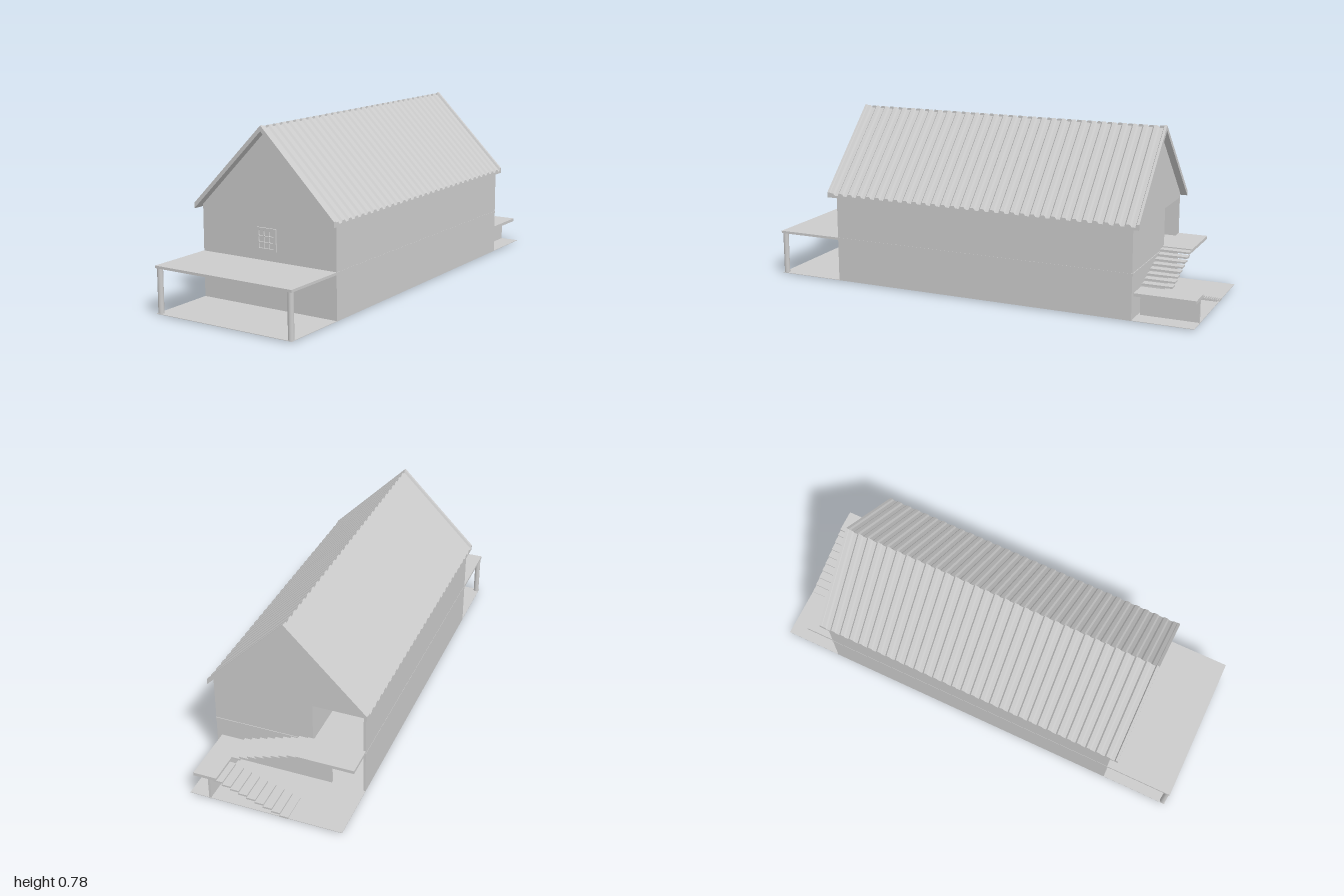
import * as THREE from 'three';

const grey = new THREE.MeshStandardMaterial({ color: 0xcccccc, flatShading: true });
const smooth = new THREE.MeshStandardMaterial({ color: 0xcccccc });

const W = 0.342, FRONT = 0.69, BACK = -0.73, RECESS = -0.476;
const GROUND = 0.007, FLOOR = 0.21, EAVE = 0.4, T = 0.01;

export function createModel() {
  const model = new THREE.Group();
  model.name = 'gabledHouse';

  const add = (name, geometry, material = grey) => {
    const mesh = new THREE.Mesh(geometry, material);
    mesh.name = name;
    model.add(mesh);
    return mesh;
  };
  // Box given by its extents on each axis
  const box = (name, x0, x1, y0, y1, z0, z1) => {
    const g = new THREE.BoxGeometry(x1 - x0, y1 - y0, z1 - z0);
    g.translate((x0 + x1) / 2, (y0 + y1) / 2, (z0 + z1) / 2);
    return add(name, g);
  };

  // Ground plate and floors; the upper slab carries on as the porch roof
  box('groundPlate', -W, W, GROUND - 0.002, GROUND, -1, 1);
  box('upperFloorAndPorchRoof', -W - 0.001, W + 0.001, 0.199, FLOOR, BACK - 0.003, 1);
  box('atticFloor', -W + T, W - T, EAVE - T, EAVE, BACK + 0.001, FRONT - 0.001);

  // Outer walls
  for (const s of [-1, 1]) {
    const x = s * (W - T / 2);
    box('sideWall', x - T / 2, x + T / 2, GROUND, 0.41, BACK, FRONT);
  }
  box('frontWall', -W + T, W - T, GROUND, EAVE, FRONT - T, FRONT);

  // Back walls, leaving an open recess at the right corner on both floors
  box('lowerBackWall', -0.19, W - T, GROUND, 0.2, BACK, BACK + T);
  box('upperBackWall', -0.107, W - T, FLOOR, EAVE, BACK, BACK + T);
  box('recessPartition', -0.107, -0.107 + T, FLOOR, EAVE, BACK + T, RECESS);
  box('recessWall', -W + T, W - T, GROUND, EAVE, RECESS, RECESS + T);

  // Gables
  const triangle = new THREE.Shape([
    new THREE.Vector2(-W, EAVE), new THREE.Vector2(W, EAVE),
    new THREE.Vector2(W, 0.414), new THREE.Vector2(0, 0.757), new THREE.Vector2(-W, 0.414),
  ]);
  for (const z of [FRONT - T, BACK]) {
    const g = new THREE.ExtrudeGeometry(triangle, { depth: T, bevelEnabled: false });
    add('gable', g.translate(0, 0, z));
  }

  // Corrugated roof: a ribbed section extruded down the slope and sheared by 45 degrees
  const ribs = 31, half = 0.745, trim = 0.012;
  const section = new THREE.Shape();
  section.moveTo(-half, 0);
  section.lineTo(half, 0);
  section.lineTo(half, 0.024);
  section.lineTo(half - trim, 0.024);
  const pitch = (2 * (half - trim)) / ribs;
  for (let i = 0; i < ribs; i++) {
    const z = half - trim - i * pitch;
    section.lineTo(z - pitch * 0.1, 0.011);
    section.lineTo(z - pitch * 0.45, 0.011);
    section.lineTo(z - pitch * 0.6, 0.021);
    section.lineTo(z - pitch * 0.95, 0.021);
  }
  section.lineTo(-half + trim, 0.024);
  section.lineTo(-half, 0.024);
  for (const turn of [0, Math.PI]) {
    const g = new THREE.ExtrudeGeometry(section, { depth: 0.357, bevelEnabled: false });
    g.rotateY(Math.PI / 2);
    const p = g.attributes.position;
    for (let i = 0; i < p.count; i++) p.setY(i, p.getY(i) + 0.757 - p.getX(i));
    g.computeVertexNormals();
    g.rotateY(turn);
    add('roofSlope', g.translate(0, 0, -0.015));
  }

  // Porch posts
  for (const s of [-1, 1]) {
    const g = new THREE.CylinderGeometry(0.0125, 0.0125, 0.193, 24);
    add('porchPost', g.translate(s * 0.329, 0.1035, 0.986), smooth);
  }

  // Window: square frame with nine rounded panes
  const rounded = (path, cx, cy, h, r) => {
    path.moveTo(cx - h + r, cy - h);
    path.lineTo(cx + h - r, cy - h);
    path.quadraticCurveTo(cx + h, cy - h, cx + h, cy - h + r);
    path.lineTo(cx + h, cy + h - r);
    path.quadraticCurveTo(cx + h, cy + h, cx + h - r, cy + h);
    path.lineTo(cx - h + r, cy + h);
    path.quadraticCurveTo(cx - h, cy + h, cx - h, cy + h - r);
    path.lineTo(cx - h, cy - h + r);
    path.quadraticCurveTo(cx - h, cy - h, cx - h + r, cy - h);
    return path;
  };
  const frame = rounded(new THREE.Shape(), 0, 0, 0.049, 0.001);
  for (let i = -1; i <= 1; i++) {
    for (let j = -1; j <= 1; j++) {
      frame.holes.push(rounded(new THREE.Path(), i * 0.0265, j * 0.0265, 0.012, 0.003));
    }
  }
  const frameGeometry = new THREE.ExtrudeGeometry(frame, { depth: 0.007, bevelEnabled: false, curveSegments: 4 });
  add('windowFrame', frameGeometry.translate(-0.003, 0.301, FRONT));

  // Outside stairs: lower flight, landing on a thin wall, upper flight, balcony
  const flight = (name, count, x0, dx, y0, dy, z0, z1) => {
    for (let i = 0; i < count; i++) {
      const x = x0 + i * dx, y = y0 + i * dy;
      box(name, x - 0.02, x + 0.02, y - 0.008, y, z0, z1);
    }
  };
  flight('lowerTread', 9, -0.085, 0.0365, 0.011, 0.0122, -1, -0.87);
  flight('upperTread', 8, 0.19, -0.0365, 0.132, 0.0122, -0.865, BACK);
  box('landing', 0.215, 0.32, 0.106, 0.12, -1, BACK);
  box('landingSupport', 0.245, 0.255, 0, 0.106, -0.998, -0.74);
  box('balcony', -W, -0.085, 0.208, 0.222, -0.865, BACK);

  return model;
}
